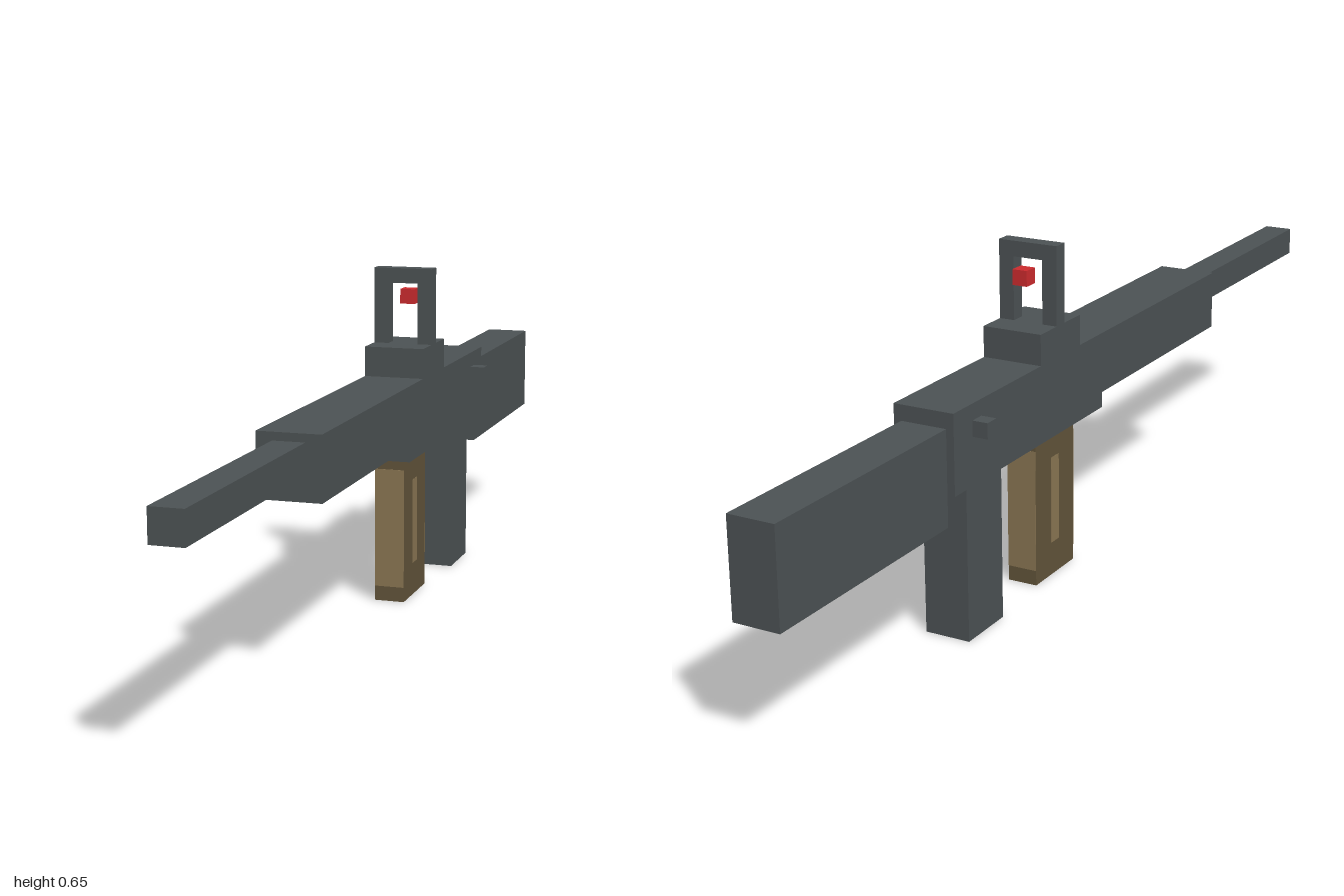
import * as THREE from 'three';

const material = (name, color) => {
  const m = new THREE.MeshStandardMaterial({ color });
  m.name = name;
  return m;
};

export function createModel() {
  const model = new THREE.Group();
  model.name = 'blockyRifle';
  const gunmetal = material('gunmetal', 0x4c5254);
  const darkBrown = material('darkBrown', 0x62543a);
  const tan = material('tan', 0x8a7653);
  const red = material('red', 0xcc2b2e);

  // Box given by its [min, max] extent on each axis
  const box = (name, mat, [x0, x1], [y0, y1], [z0, z1]) => {
    const mesh = new THREE.Mesh(new THREE.BoxGeometry(x1 - x0, y1 - y0, z1 - z0), mat);
    mesh.position.set((x0 + x1) / 2, (y0 + y1) / 2, (z0 + z1) / 2);
    mesh.name = name;
    model.add(mesh);
    return mesh;
  };
  const wide = (half) => [-half, half];

  // Body, front to back
  box('barrel', gunmetal, wide(0.0294), [0.37, 0.427], [0.5, 1]);
  box('handguard', gunmetal, wide(0.0588), [0.325, 0.442], [0, 0.5]);
  box('receiver', gunmetal, wide(0.0588), [0.295, 0.442], [-0.53, 0]);
  box('stock', gunmetal, wide(0.0441), [0.237, 0.413], [-1, -0.53]);
  box('grip', gunmetal, wide(0.0441), [0, 0.295], [-0.47, -0.353]);

  // Magazine with lighter end panels and side stripes
  box('magazine', darkBrown, wide(0.0294), [0, 0.295], [-0.205, -0.06]);
  box('magazineFrontPanel', tan, wide(0.0294), [0.0294, 0.265], [-0.06, -0.0588]);
  box('magazineBackPanel', tan, wide(0.0294), [0.0294, 0.265], [-0.206, -0.205]);
  for (const side of [-1, 1]) {
    const label = side > 0 ? 'left' : 'right';
    const stripe = box(label + 'MagazineStripe', tan, wide(0.0005), [0.065, 0.235], [-0.147, -0.118]);
    stripe.position.x = side * 0.0296;
    const knob = box(label + 'Knob', gunmetal, wide(0.0147), [0.383, 0.412], [-0.47, -0.441]);
    knob.position.x = side * 0.0735;
  }

  // Sight: base, open frame and aiming dot
  box('sightBase', gunmetal, wide(0.0588), [0.442, 0.5], [-0.235, -0.088]);
  const outline = [
    [-0.0588, 0.5], [-0.0294, 0.5], [-0.0294, 0.619], [0.0294, 0.619],
    [0.0294, 0.5], [0.0588, 0.5], [0.0588, 0.648], [-0.0588, 0.648],
  ].map(([x, y]) => new THREE.Vector2(x, y));
  const frame = new THREE.Mesh(
    new THREE.ExtrudeGeometry(new THREE.Shape(outline), { depth: 0.0294, bevelEnabled: false }),
    gunmetal
  );
  frame.position.z = -0.1764;
  frame.name = 'sightFrame';
  model.add(frame);
  box('aimingDot', red, wide(0.0147), [0.575, 0.604], [-0.206, -0.1764]);

  return model;
}
